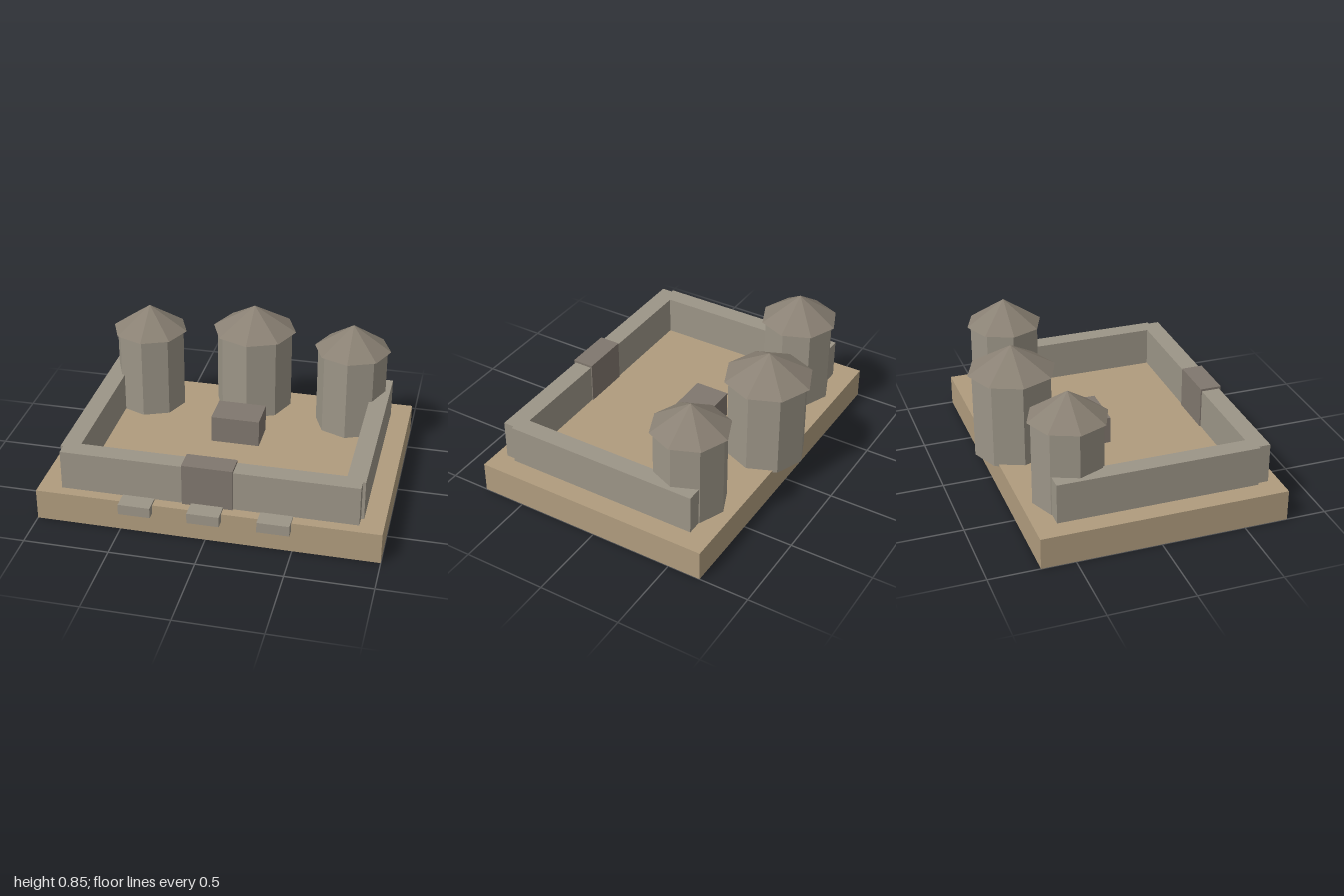
import * as THREE from 'three';

const material = (color) => new THREE.MeshStandardMaterial({ color, flatShading: true });

export function createModel() {
  const model = new THREE.Group();
  const earth = material(0xb09c7e);
  const stone = material(0x9c9587);
  const darkStone = material(0x80776e);
  const roofing = material(0x8a8174);

  const add = (parent, name, geometry, mat, x, y, z) => {
    const mesh = new THREE.Mesh(geometry, mat);
    mesh.name = name;
    mesh.position.set(x, y, z);
    parent.add(mesh);
  };

  // Box given by its extents along each axis
  const block = (name, mat, [x0, x1], [y0, y1], [z0, z1]) =>
    add(model, name, new THREE.BoxGeometry(x1 - x0, y1 - y0, z1 - z0), mat,
      (x0 + x1) / 2, (y0 + y1) / 2, (z0 + z1) / 2);

  // Ground slab
  block('base', earth, [-1, 1], [0, 0.187], [-0.7, 0.762]);

  // Courtyard walls, open at the back
  block('frontWall', stone, [-0.863, 0.863], [0.18, 0.427], [0.585, 0.697]);
  block('leftWall', stone, [0.77, 0.88], [0.18, 0.427], [-0.568, 0.63]);
  block('rightWall', stone, [-0.88, -0.77], [0.18, 0.427], [-0.568, 0.63]);

  // Gate in the front wall and the block in the courtyard
  block('gate', darkStone, [-0.147, 0.147], [0.18, 0.441], [0.578, 0.708]);
  block('courtyardBlock', darkStone, [-0.147, 0.147], [0.18, 0.353], [-0.208, 0]);

  // Three ledges on the front edge of the slab
  for (const x of [-0.4, 0, 0.4]) {
    block('ledge', stone, [x - 0.093, x + 0.093], [0.137, 0.2], [0.71, 0.817]);
  }

  // Octagonal towers with pointed roofs
  const tower = (name, x, z, bodyRadius, roofRadius) => {
    const group = new THREE.Group();
    group.name = name;
    group.position.set(x, 0, z);
    add(group, 'towerBody', new THREE.CylinderGeometry(bodyRadius, bodyRadius, 0.525, 8), stone, 0, 0.4375, 0);
    add(group, 'towerRoof', new THREE.ConeGeometry(roofRadius, 0.157, 8), roofing, 0, 0.7755, 0);
    model.add(group);
  };
  tower('leftTower', 0.638, -0.423, 0.213, 0.233);
  tower('rightTower', -0.638, -0.423, 0.213, 0.233);
  tower('rearTower', 0, -0.557, 0.238, 0.262);

  return model;
}
